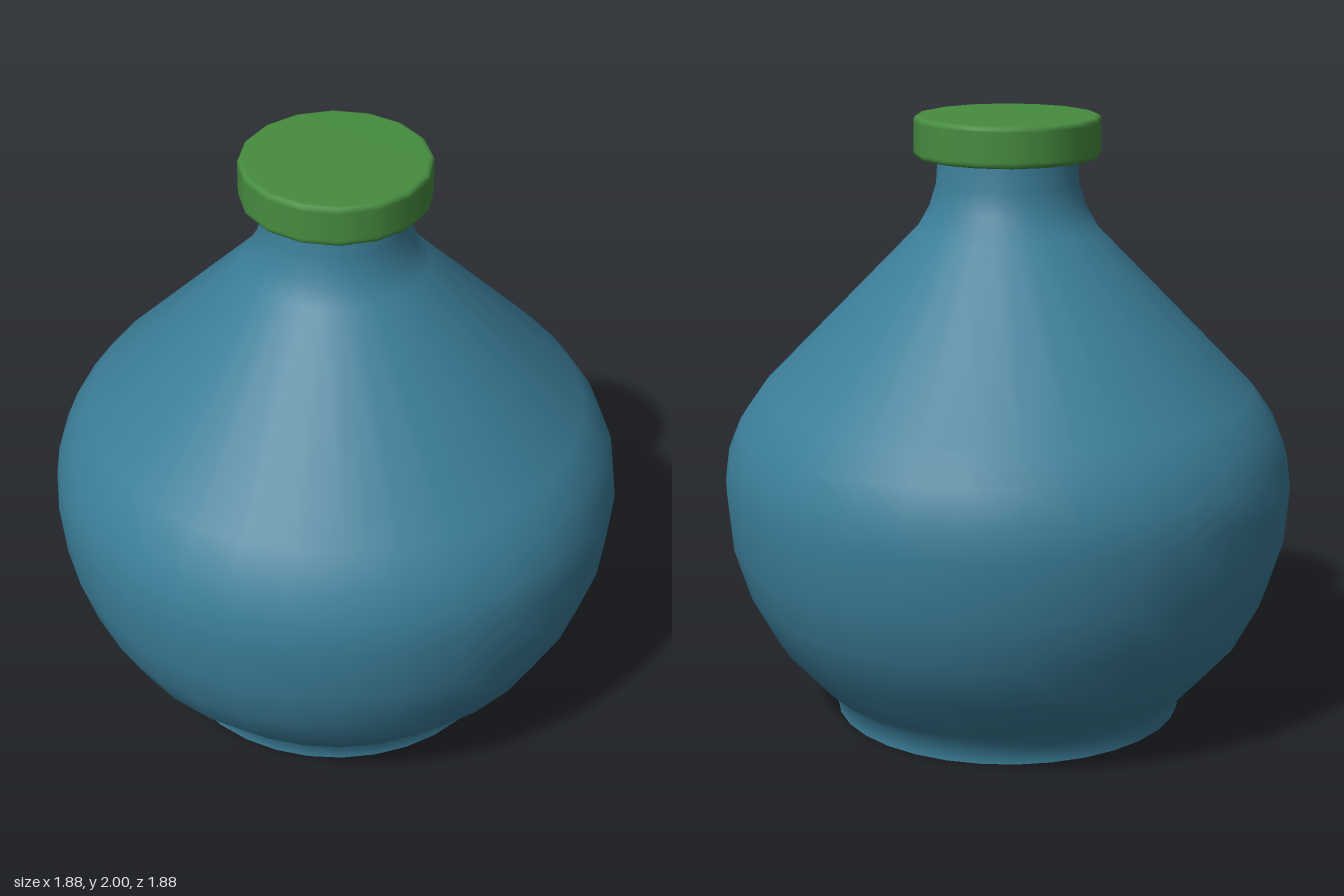
import * as THREE from 'three';

// Revolve a profile of [radius, height] pairs, listed from bottom to top
function revolve(name, profile, sides, color) {
  const points = profile.map(([r, y]) => new THREE.Vector2(r, y));
  const mesh = new THREE.Mesh(
    new THREE.LatheGeometry(points, sides),
    new THREE.MeshStandardMaterial({ color, side: THREE.DoubleSide })
  );
  mesh.name = name;
  return mesh;
}

export function createModel() {
  const group = new THREE.Group();
  group.name = 'bottle';

  // Body: short foot, round belly, straight shoulder and narrow neck
  group.add(revolve('body', [
    [0.58, 0], [0.58, 0.06], [0.645, 0.115], [0.785, 0.27], [0.87, 0.43],
    [0.923, 0.6], [0.94, 0.79], [0.925, 0.9], [0.885, 1.0], [0.815, 1.1],
    [0.295, 1.635], [0.255, 1.705], [0.232, 1.78], [0.225, 1.89],
  ], 32, 0x3b7d98));

  // Flat underside of the foot
  const base = new THREE.Mesh(
    new THREE.CircleGeometry(0.58, 32),
    new THREE.MeshStandardMaterial({ color: 0xcccccc })
  );
  base.name = 'base';
  base.rotation.x = Math.PI / 2;
  group.add(base);

  // Cap: sixteen-sided disc with narrow bevelled rims
  group.add(revolve('cap', [
    [0, 1.865], [0.285, 1.865], [0.297, 1.868], [0.303, 1.876], [0.303, 1.885],
    [0.303, 1.98], [0.303, 1.989], [0.297, 1.997], [0.285, 2], [0, 2],
  ], 16, 0x468c3f));

  return group;
}
